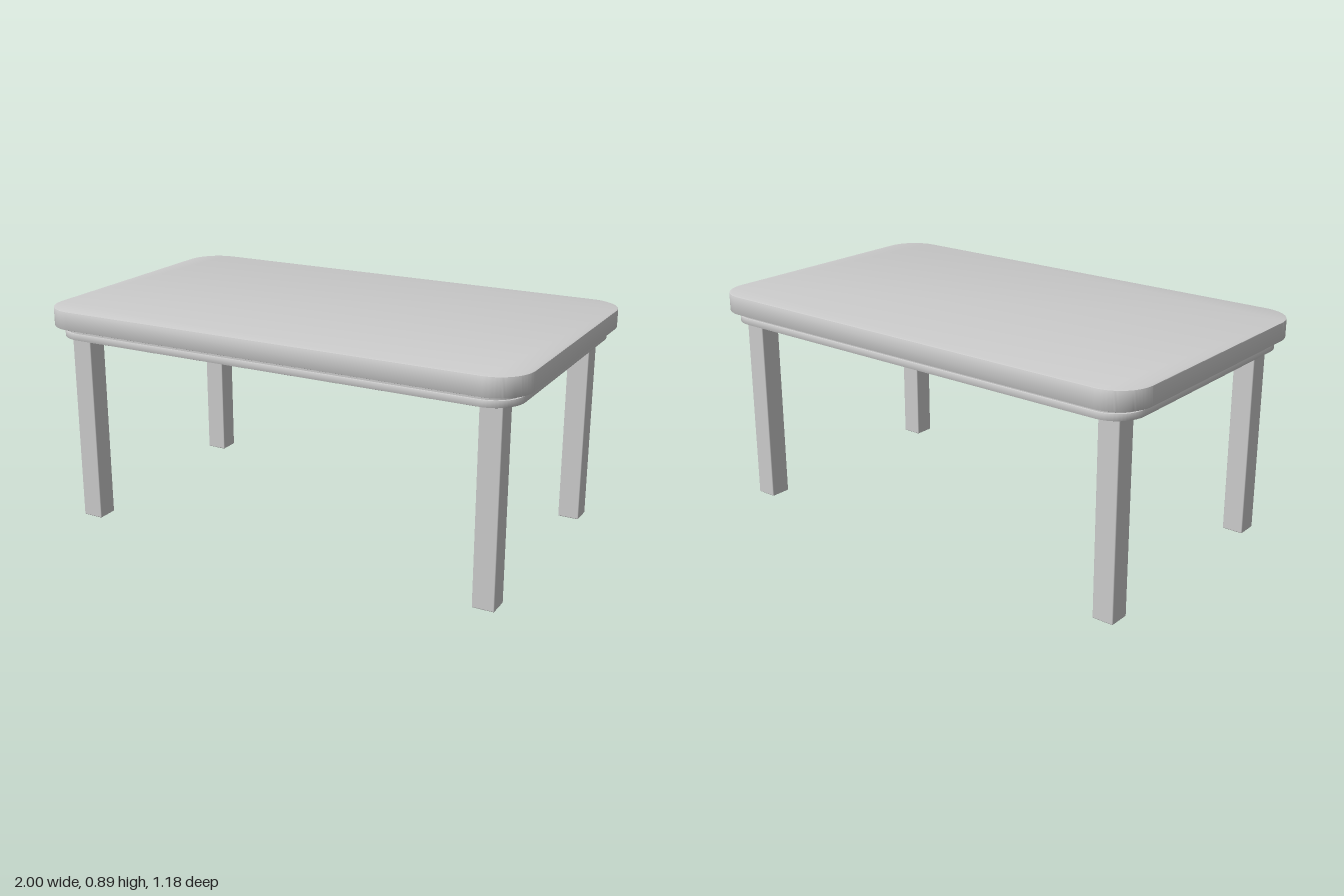
import * as THREE from 'three';
import { RoundedBoxGeometry } from 'three/addons/geometries/RoundedBoxGeometry.js';
import { toCreasedNormals } from 'three/addons/utils/BufferGeometryUtils.js';

const material = new THREE.MeshStandardMaterial({ color: 0xcccccc });

// Rounded rectangle outline with half sizes hx, hz and corner radius r
function trace(path, hx, hz, r) {
  path.moveTo(hx, -hz + r);
  path.absarc(hx - r, hz - r, r, 0, Math.PI / 2);
  path.absarc(-hx + r, hz - r, r, Math.PI / 2, Math.PI);
  path.absarc(-hx + r, -hz + r, r, Math.PI, Math.PI * 1.5);
  path.absarc(hx - r, -hz + r, r, Math.PI * 1.5, Math.PI * 2);
  return path;
}

// Horizontal slab from y0 to y1, hollow when a wall thickness is given
function slab(name, hx, hz, r, y0, y1, bevel, wall = 0) {
  const shape = trace(new THREE.Shape(), hx - bevel, hz - bevel, r - bevel);
  if (wall) shape.holes.push(trace(new THREE.Path(), hx - wall, hz - wall, r - wall));
  const geometry = new THREE.ExtrudeGeometry(shape, {
    depth: y1 - y0 - 2 * bevel, curveSegments: 16,
    bevelEnabled: bevel > 0, bevelSize: bevel, bevelThickness: bevel, bevelSegments: 2,
  });
  geometry.rotateX(-Math.PI / 2);
  geometry.translate(0, y0 + bevel, 0);
  const mesh = new THREE.Mesh(toCreasedNormals(geometry, 0.6), material);
  mesh.name = name;
  return mesh;
}

export function createModel() {
  const table = new THREE.Group();
  table.name = 'table';

  // Thick top with rounded corners
  table.add(slab('tableTop', 1, 0.59, 0.14, 0.815, 0.89, 0.004));

  // Hollow apron under the top: a slightly inset band over a lower rim
  table.add(slab('apronBand', 0.957, 0.552, 0.115, 0.795, 0.816, 0, 0.032));
  table.add(slab('apronRim', 0.965, 0.558, 0.12, 0.77, 0.796, 0.002, 0.04));

  // Four square legs reaching the underside of the top
  const legHeight = 0.816;
  const legGeometry = new RoundedBoxGeometry(0.086, legHeight, 0.086, 2, 0.004);
  for (const [sx, endName] of [[1, 'Left'], [-1, 'Right']]) {
    for (const [sz, sideName] of [[1, 'front'], [-1, 'back']]) {
      const leg = new THREE.Mesh(legGeometry, material);
      leg.position.set(sx * 0.868, legHeight / 2, sz * 0.462);
      leg.name = `${sideName}${endName}Leg`;
      table.add(leg);
    }
  }
  return table;
}
